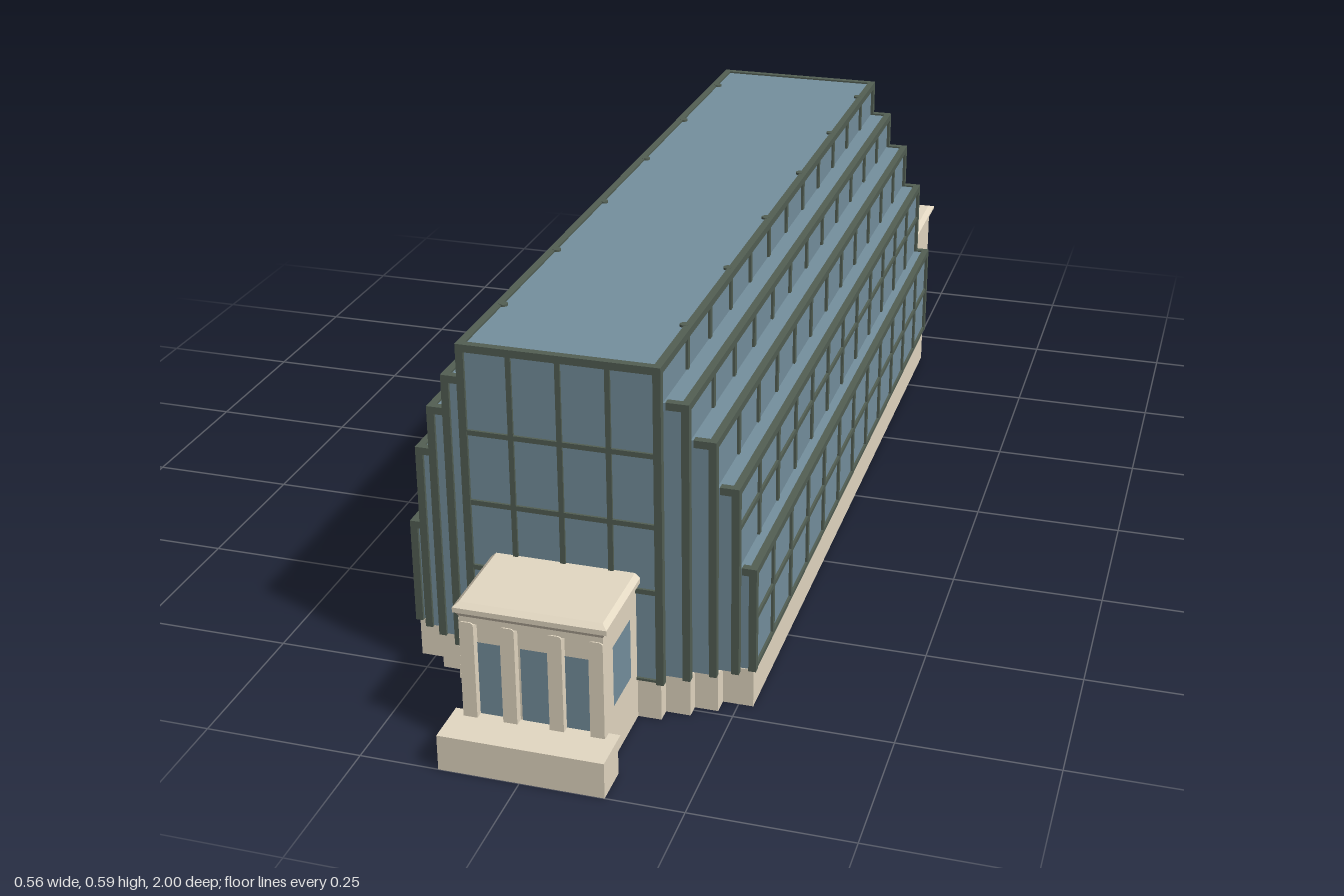
import * as THREE from 'three';

const mat = (name, color, side = THREE.FrontSide) => {
  const m = new THREE.MeshStandardMaterial({ color, side });
  m.name = name;
  return m;
};

export function createModel() {
  const stone = mat('stone', 0xe4d9c3, THREE.DoubleSide);
  const glass = mat('glass', 0x75909e, THREE.DoubleSide);
  const frame = mat('frame', 0x535f54);
  const root = new THREE.Group();
  root.name = 'steppedHall';

  const add = (parent, name, geo, material) => {
    const m = new THREE.Mesh(geo, material);
    m.name = name;
    parent.add(m);
    return m;
  };
  // box given by its minimum and maximum on each axis
  const box = (parent, name, material, x0, x1, y0, y1, z0, z1) => {
    const g = new THREE.BoxGeometry(x1 - x0, y1 - y0, z1 - z0);
    g.translate((x0 + x1) / 2, (y0 + y1) / 2, (z0 + z1) / 2);
    return add(parent, name, g, material);
  };
  // upright single sheet from a to b, facing right of the direction turned outwards
  const wall = (parent, name, material, [ax, az], [bx, bz], y0, y1) => {
    const g = new THREE.PlaneGeometry(Math.hypot(bx - ax, bz - az), y1 - y0);
    g.rotateY(Math.atan2(az - bz, bx - ax));
    g.translate((ax + bx) / 2, (y0 + y1) / 2, (az + bz) / 2);
    return add(parent, name, g, material);
  };
  // slab whose top rectangle differs from its bottom one: [half width, z min, z max]
  const taper = (parent, name, y0, y1, low, high) => {
    const g = new THREE.BoxGeometry(2, 2, 2).toNonIndexed();
    const p = g.attributes.position;
    for (let i = 0; i < p.count; i++) {
      const up = p.getY(i) > 0;
      const [w, z0, z1] = up ? high : low;
      p.setXYZ(i, p.getX(i) * w, up ? y1 : y0, p.getZ(i) > 0 ? z1 : z0);
    }
    g.computeVertexNormals();
    return add(parent, name, g, stone);
  };
  const group = (name) => {
    const g = new THREE.Group();
    g.name = name;
    root.add(g);
    return g;
  };

  const sill = 0.065, back = -0.645;
  // tiers from the outside in: half width, top, front z, first mullion z, side rail heights
  const tiers = [
    { w: 0.278, top: 0.242, front: 0.72, first: 0.608, rails: [0.069, 0.155, 0.235] },
    { w: 0.255, top: 0.380, front: 0.735, first: 0.608, rails: [0.31] },
    { w: 0.225, top: 0.460, front: 0.752, first: 0.619, rails: [] },
    { w: 0.190, top: 0.525, front: 0.773, first: 0.635, rails: [] },
    { w: 0.155, top: 0.588, front: 0.795, first: 0.651, rails: [] },
  ];

  // stone plinth: outer sheets stepped towards the front, floor at sill height
  const plinth = group('plinth');
  const half = [[0.273, back + 0.005], [0.273, 0.715], [0.225, 0.715], [0.225, 0.742],
    [0.188, 0.742], [0.188, 0.765], [0.149, 0.765], [0.149, 0.788]];
  const outline = [...half, ...half.map(([x, z]) => [-x, z]).reverse()];
  outline.forEach((a, i) => {
    wall(plinth, 'plinthWall', stone, outline[(i + 1) % outline.length], a, 0, sill);
  });
  const floor = new THREE.ExtrudeGeometry(
    new THREE.Shape(outline.map(([x, z]) => new THREE.Vector2(x, -z))),
    { depth: 0.003, bevelEnabled: false });
  floor.rotateX(-Math.PI / 2).translate(0, sill - 0.003, 0);
  add(plinth, 'floor', floor, stone);

  // glazed tiers
  const t = 0.012, d = 0.005;
  tiers.forEach(({ w, top, front, first, rails }, i) => {
    const g = group('tier' + (i + 1));
    const zb = back - i * 0.0004;
    const low = i ? tiers[i - 1].top : sill;
    // end beams stop at the next tier in
    const inner = i < 4 ? tiers[i + 1].w : 0;
    box(g, 'glazing', glass, -w + d, w - d, sill + 0.001, top - 0.003, zb + d, front - d);
    for (const s of [-1, 1]) {
      const span = (a, b) => (s > 0 ? [a, b] : [-b, -a]);
      const xs = span(w - t, w), skin = span(w - t, w - 0.001), beam = span(inner, w - t);
      // corner posts, eaves beam and end beams
      box(g, 'frontPost', frame, ...xs, sill, top, front - t, front);
      box(g, 'backPost', frame, ...xs, sill, top, zb, zb + t);
      box(g, 'sideBeam', frame, ...xs, top - t, top, zb + t, front - t);
      box(g, 'frontBeam', frame, ...beam, top - t, top, front - t, front);
      box(g, 'backBeam', frame, ...beam, top - t, top, zb, zb + t);
      // side rails and twelve bays of mullions
      for (const y of rails) {
        box(g, 'sideRail', frame, ...skin, y - 0.004, y + 0.004, zb + t, front - t);
      }
      for (let k = 0; k <= 10; k++) {
        const z = THREE.MathUtils.lerp(first, -0.526, k / 10);
        box(g, 'sideMullion', frame, ...skin, low, top - t, z - 0.005, z + 0.005);
      }
    }
  });

  // window grid on both ends of the tallest tier
  const grid = group('endWindowGrid');
  const tall = tiers[4];
  for (const [z0, z1] of [[tall.front - t, tall.front - 0.001], [back - 0.0006, back + t]]) {
    for (const x of [-0.075, 0, 0.075]) {
      box(grid, 'endMullion', frame, x - 0.004, x + 0.004, sill, tall.top - t, z0, z1);
    }
    for (const [y, h] of [[0.07, 0.002], [0.222, 0.004], [0.332, 0.004], [0.447, 0.004]]) {
      box(grid, 'endRail', frame, -tall.w + t, tall.w - t, y - h, y + h, z0, z1);
    }
  }

  // inner columns, their ends showing at roof and floor
  for (let k = 0; k < 6; k++) {
    for (const x of [-0.142, 0.142]) {
      const c = add(root, 'innerColumn', new THREE.CylinderGeometry(0.007, 0.007, 0.527, 12), frame);
      c.position.set(x, 0.325, -0.54 + 0.235 * k);
    }
  }

  // rear annex: sheet walls, open below, with a moulded roof
  const annex = group('rearAnnex');
  const aw = 0.216, az = -0.991;
  wall(annex, 'annexSideWall', stone, [aw, back], [aw, az], 0, 0.197);
  wall(annex, 'annexBackWall', stone, [aw, az], [-aw, az], 0, 0.197);
  wall(annex, 'annexSideWall', stone, [-aw, az], [-aw, back], 0, 0.197);
  wall(annex, 'annexInnerWall', stone, [0.2, back - 0.004], [-0.2, back - 0.004], 0, 0.195);
  taper(annex, 'annexMoulding', 0.195, 0.202, [aw, az, back], [0.222, -0.997, back]);
  taper(annex, 'annexCap', 0.202, 0.206, [0.225, -1, back], [0.225, -1, back]);
  taper(annex, 'annexCapSlope', 0.206, 0.21, [0.225, -1, back], [0.214, -0.989, back]);

  // entrance pavilion
  const porch = group('entrancePavilion');
  porch.position.x = 0.002;
  const pw = 0.11, pz = 0.94;
  for (const s of [-1, 1]) {
    const ends = [[s * pw, pz], [s * pw, 0.785]];
    const glazed = [[s * (pw + 0.001), 0.902], [s * (pw + 0.001), 0.822]];
    if (s < 0) [ends, glazed].forEach((e) => e.reverse());
    wall(porch, 'pavilionSideWall', stone, ...ends, 0, 0.225);
    wall(porch, 'sideWindow', glass, ...glazed, 0.09, 0.19);
  }
  wall(porch, 'pavilionFrontWall', stone, [-pw, 0.927], [pw, 0.927], 0.055, 0.222);
  for (const x of [-0.0675, 0, 0.0675]) {
    wall(porch, 'entranceGlass', glass, [x - 0.0215, 0.928], [x + 0.0215, 0.928], 0.058, 0.18);
  }

  // flat pilasters with rounded top corners
  const pilaster = new THREE.Shape();
  pilaster.moveTo(-0.011, 0.055).lineTo(0.011, 0.055).lineTo(0.011, 0.213);
  pilaster.quadraticCurveTo(0.011, 0.219, 0.005, 0.219).lineTo(-0.005, 0.219);
  pilaster.quadraticCurveTo(-0.011, 0.219, -0.011, 0.213);
  for (const x of [-0.0985, -0.036, 0.036, 0.0985]) {
    const g = new THREE.ExtrudeGeometry(pilaster, { depth: 0.019, bevelEnabled: false, curveSegments: 4 });
    add(porch, 'pilaster', g, stone).position.set(x, 0, 0.922);
  }

  // entablature and moulded cornice
  box(porch, 'entablature', stone, -pw, pw, 0.217, 0.228, 0.785, pz - 0.001);
  taper(porch, 'underMoulding', 0.228, 0.235, [pw, 0.785, pz], [0.114, 0.785, 0.943]);
  taper(porch, 'cornice', 0.235, 0.243, [0.117, 0.785, 0.945], [0.117, 0.785, 0.945]);
  taper(porch, 'corniceSlope', 0.243, 0.25, [0.117, 0.785, 0.945], [0.109, 0.785, 0.937]);

  // front step
  const step = group('frontStep');
  const corners = [[-0.126, 1], [0.13, 1], [0.13, 0.937], [-0.126, 0.937]];
  corners.forEach((a, i) => wall(step, 'stepWall', stone, a, corners[(i + 1) % 4], 0, 0.058));
  box(step, 'stepTop', stone, -0.126, 0.13, 0.055, 0.0585, 0.925, 1);

  return root;
}
